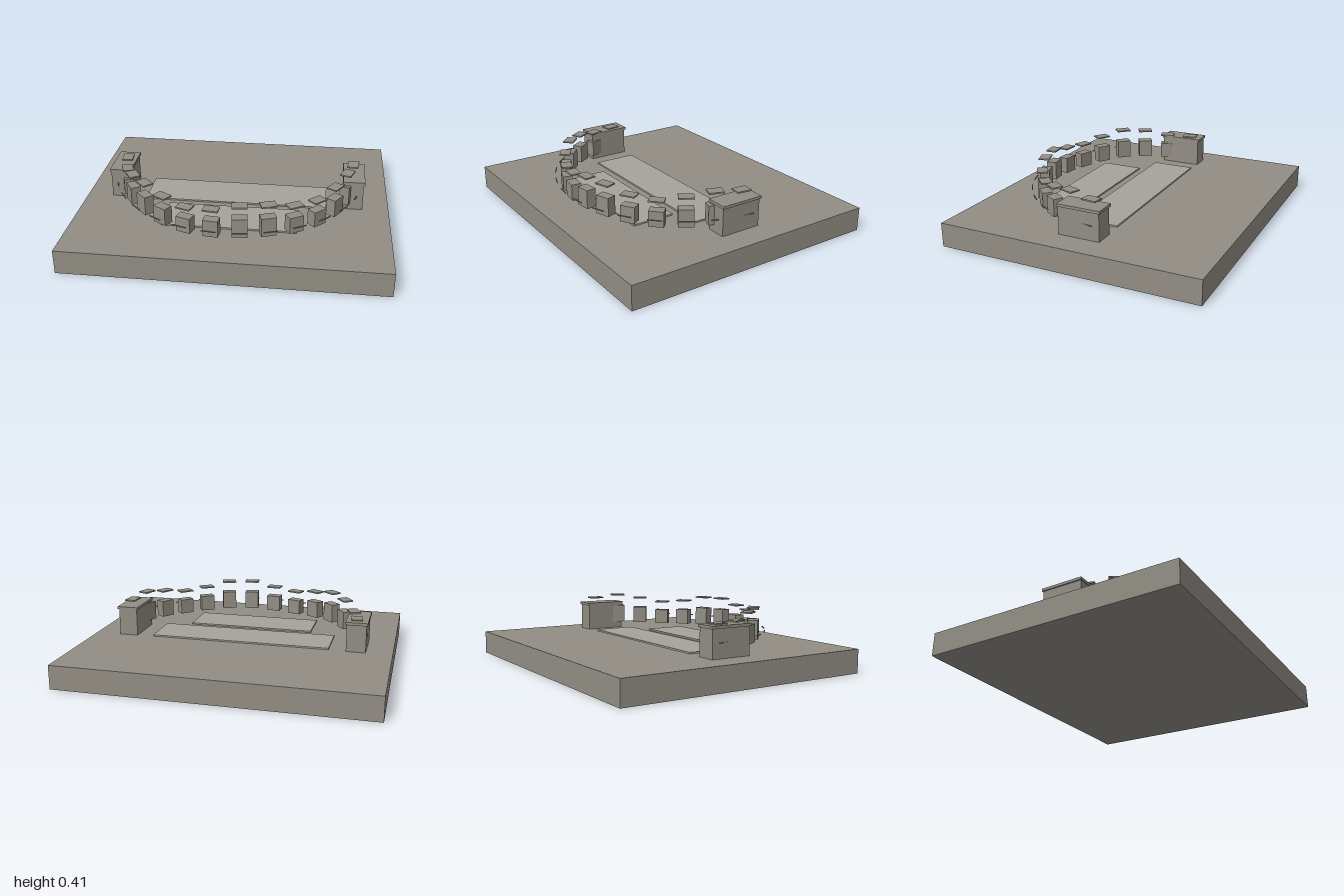
import * as THREE from 'three';

const stone = new THREE.MeshStandardMaterial({ color: 0x928e84 });
const pale = new THREE.MeshStandardMaterial({ color: 0xa6a39d });

// Box spanning y0..y1, centred on x, z
function box(parent, name, w, d, y0, y1, x, z, material = stone) {
  const mesh = new THREE.Mesh(new THREE.BoxGeometry(w, y1 - y0, d), material);
  mesh.name = name;
  mesh.position.set(x, (y0 + y1) / 2, z);
  parent.add(mesh);
  return mesh;
}

export function createModel() {
  const model = new THREE.Group();
  model.name = 'plaza';

  // Ground block and the two shallow slabs
  box(model, 'base', 2, 1.7, 0, 0.155, 0, 0);
  box(model, 'longSlab', 1.19, 0.285, 0.155, 0.165, 0, -0.003, pale);
  box(model, 'shortSlab', 0.85, 0.28, 0.155, 0.165, 0, 0.333, pale);

  // Side pedestals with overhanging caps
  for (const side of [-1, 1]) {
    const pedestal = new THREE.Group();
    pedestal.name = side > 0 ? 'leftPedestal' : 'rightPedestal';
    box(pedestal, 'pedestalBody', 0.125, 0.272, 0.155, 0.332, side * 0.768, -0.016);
    box(pedestal, 'pedestalCap', 0.14, 0.285, 0.332, 0.35, side * 0.768, -0.018);
    model.add(pedestal);
  }

  // Half ring of floating blocks, each with a cap above and a bar outside
  const count = 14, radius = 0.767, step = THREE.MathUtils.degToRad(12.8);
  const ring = new THREE.Group();
  ring.name = 'blockRing';
  ring.position.z = -0.16;
  for (let i = 0; i < count; i++) {
    const unit = new THREE.Group();
    unit.name = 'ringUnit';
    unit.rotation.y = (i - (count - 1) / 2) * step;
    const wave = Math.cos(1.35 * (i - 2.8)); // heights rise and fall along the ring
    box(unit, 'block', 0.095, 0.065, 0.193 + 0.006 * wave, 0.305 + 0.018 * wave, 0, radius);
    const capTop = 0.379 + 0.027 * wave;
    box(unit, 'floatingCap', 0.096, 0.07, capTop - 0.009, capTop, 0, radius);
    box(unit, 'bar', 0.09, 0.006, 0.246, 0.252, 0, radius + 0.07);
    ring.add(unit);
  }
  model.add(ring);
  return model;
}
